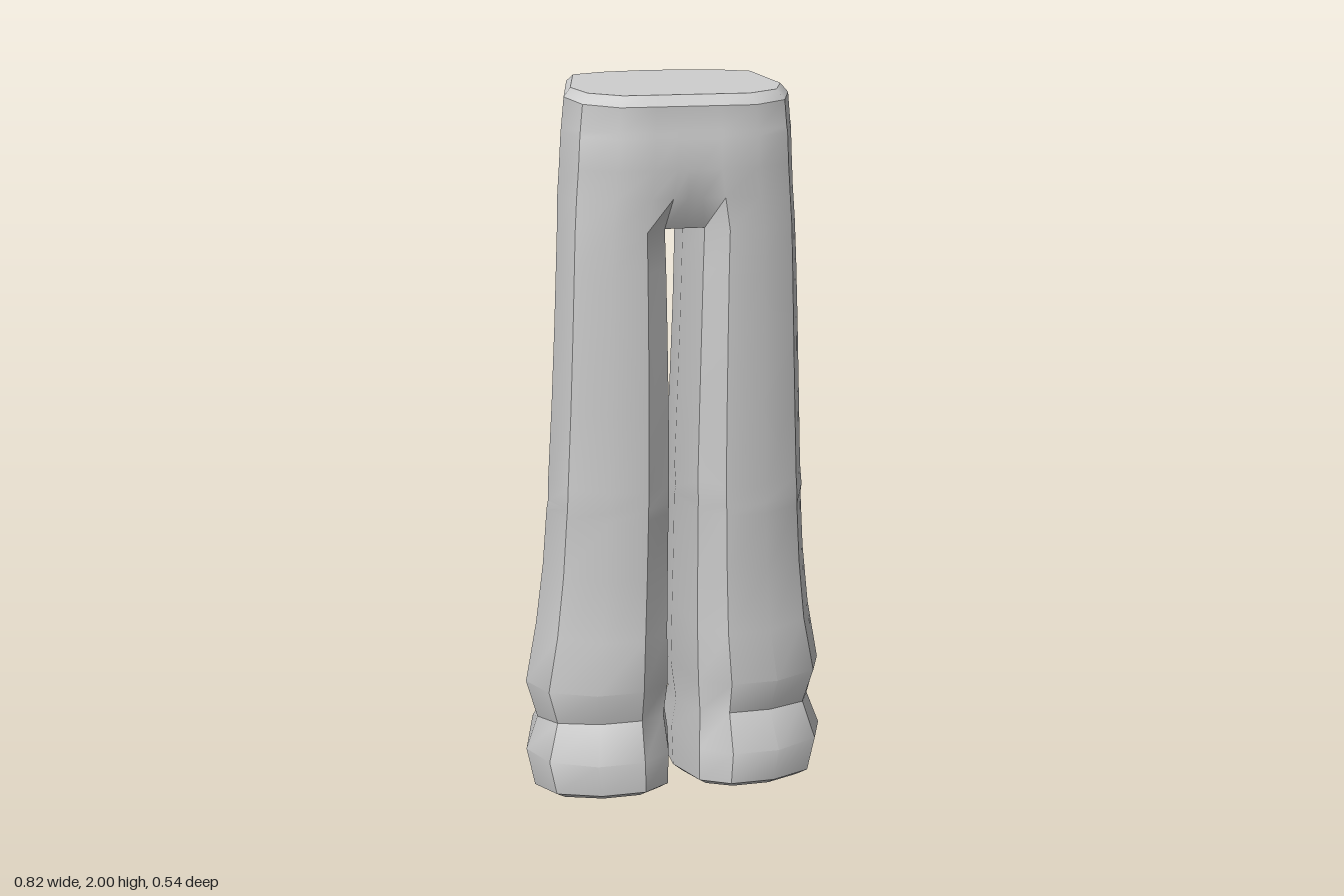
import * as THREE from 'three';
import { mergeGeometries, toCreasedNormals } from 'three/addons/utils/BufferGeometryUtils.js';

// Boxy cross-section of one leg: u runs inner -> outer, v runs back -> front
const OUTER = [[0.28, 1], [0.59, 1], [0.885, 0.87], [1, 0.633], [0.875, 0.12], [0.58, 0.037], [0.185, 0]];

// Rows: [yFront, yBack, xInner, xOuter, zFront, zBack]
const CROTCH = [1.65, 1.65, 0.025, 0.303, 0.24, -0.137];

// Last value of each hip row: depth of the groove at the centre line
const HIP_ROWS = [
  [1.975, 2.0, 0, 0.262, 0.212, -0.128, 0],   // top rim
  [1.95, 1.985, 0, 0.28, 0.236, -0.142, 0],
  [1.89, 1.905, 0, 0.287, 0.236, -0.145, 0],  // waistband seam
  [1.875, 1.89, 0, 0.289, 0.24, -0.148, 0],
  [1.8, 1.8, 0, 0.294, 0.24, -0.157, 0],
  [1.73, 1.73, 0.01, 0.299, 0.24, -0.166, 0.15],
  [...CROTCH, 1],
];

const LEG_ROWS = [
  CROTCH,
  [1.55, 1.55, 0.021, 0.308, 0.24, -0.128],
  [1.4, 1.4, 0.017, 0.315, 0.24, -0.128],
  [1.2, 1.2, 0.012, 0.325, 0.24, -0.145],
  [0.99, 0.985, 0.008, 0.337, 0.238, -0.176],
  [0.94, 0.925, 0.009, 0.340, 0.238, -0.152], // fold behind the knee
  [0.91, 0.9, 0.009, 0.342, 0.238, -0.194],
  [0.75, 0.75, 0.009, 0.354, 0.236, -0.215],
  [0.58, 0.58, 0.008, 0.375, 0.236, -0.24],
  [0.44, 0.365, 0.006, 0.406, 0.252, -0.268], // flare
  [0.345, 0.24, 0.018, 0.378, 0.225, -0.215], // crease above the cuff
  [0.245, 0.17, 0.006, 0.411, 0.271, -0.265], // cuff
  [0.155, 0.025, 0.01, 0.39, 0.265, -0.255],
  [0.13, 0, 0.038, 0.358, 0.232, -0.228],     // hem underside
];

function place([yF, yB, xI, xO, zF, zB], [u, v]) {
  return [xI + (xO - xI) * u, yB + (yF - yB) * v, zB + (zF - zB) * v];
}

const mirror = (ring) => ring.map(([x, y, z]) => [-x, y, z]).reverse();

function legRing(row) {
  return [[0.09, 0.87], ...OUTER, [0.04, 0.08], [0, 0.5]].map((p) => place(row, p));
}

function hipRing(row) {
  const k = row[6], vF = 1 - 0.13 * k, vB = 0.08 * k;
  const half = [[0.09, vF], ...OUTER, [0.04, vB]].map((p) => place(row, p));
  const centre = (v) => { const p = place(row, [0, v]); p[0] = 0; return p; };
  return [centre(vF), ...half, centre(vB), ...mirror(half)];
}

// Skin rings listed from top to bottom; optionally close each end with a fan
function loft(rings, capTop, capBottom, lift = 0) {
  const n = rings[0].length, pos = rings.flat(2), index = [];
  for (let i = 0; i < rings.length - 1; i++) {
    for (let j = 0; j < n; j++) {
      const a = i * n + j, b = i * n + (j + 1) % n;
      index.push(a, a + n, b, b, a + n, b + n);
    }
  }
  const cap = (r, up) => {
    const c = pos.length / 3, s = r * n;
    for (let k = 0; k < 3; k++) {
      pos.push(rings[r].reduce((t, p) => t + p[k], 0) / n + (k === 1 ? lift : 0));
    }
    for (let j = 0; j < n; j++) {
      const a = s + j, b = s + (j + 1) % n;
      index.push(c, up ? a : b, up ? b : a);
    }
  };
  if (capTop) cap(0, true);
  if (capBottom) cap(rings.length - 1, false);
  const g = new THREE.BufferGeometry();
  g.setAttribute('position', new THREE.Float32BufferAttribute(pos, 3));
  g.setIndex(index);
  return g;
}

export function createModel() {
  const group = new THREE.Group();
  group.name = 'trousers';
  const cloth = new THREE.MeshStandardMaterial({ color: 0xcccccc });
  cloth.name = 'light grey cloth';

  // Hips and both legs share one skin so the shading runs across the join
  const legRings = LEG_ROWS.map(legRing);
  const skin = mergeGeometries([
    loft(HIP_ROWS.map(hipRing), true, true),
    loft(legRings, false, true, 0.01),
    loft(legRings.map(mirror), false, true, 0.01),
  ]);
  const mesh = new THREE.Mesh(toCreasedNormals(skin, 0.6), cloth);
  mesh.name = 'hipsAndLegs';
  group.add(mesh);
  return group;
}
